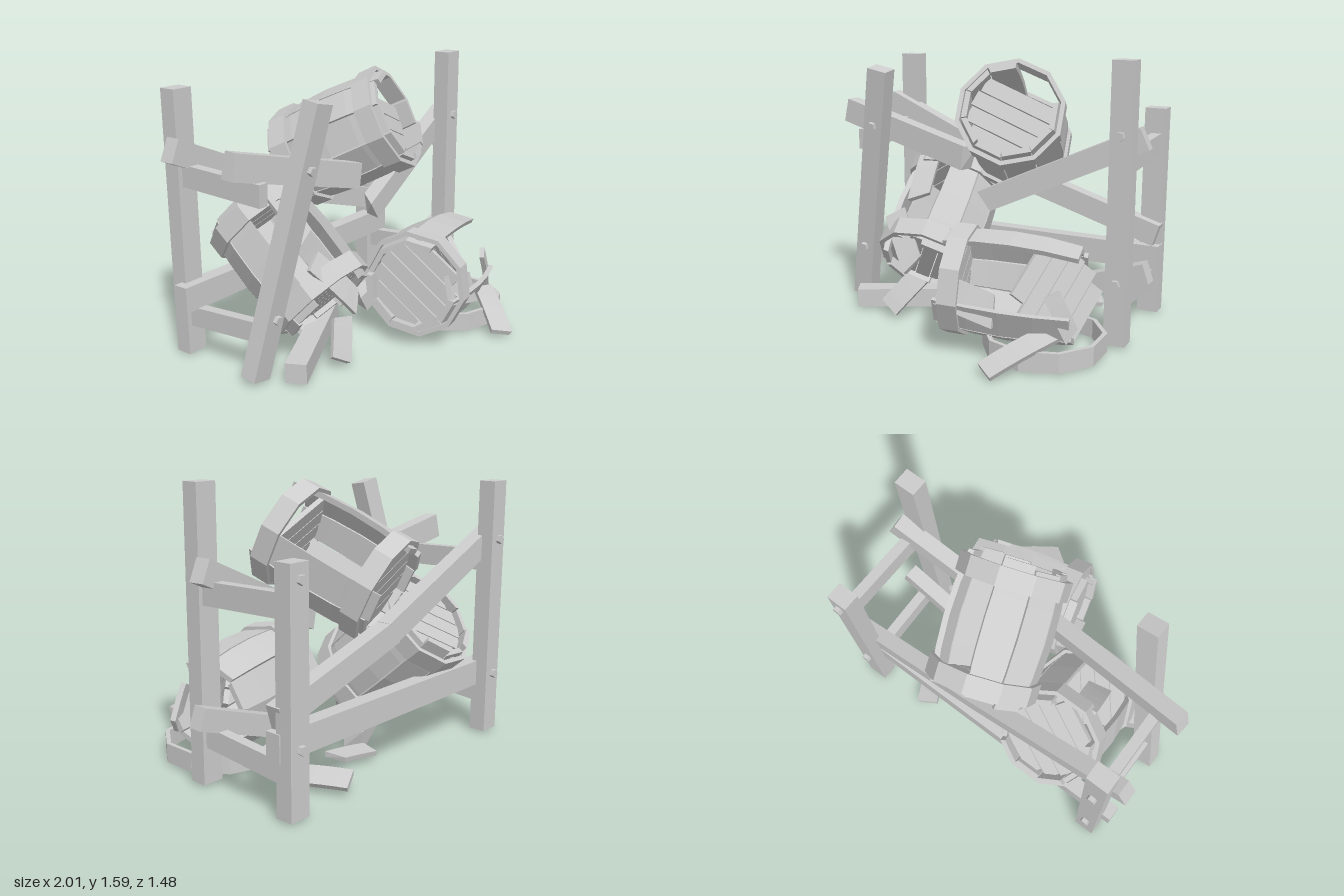
import * as THREE from 'three';

const mat = new THREE.MeshStandardMaterial({ color: 0xcccccc, flatShading: true });
const UP = new THREE.Vector3(0, 1, 0);
const V = (a) => new THREE.Vector3(...a);
const SIDES = 10, HALF = 0.375, STEP = (Math.PI * 2) / SIDES;

function mesh(name, geo, parent) {
  const m = new THREE.Mesh(geo, mat);
  m.name = name;
  parent.add(m);
  return m;
}

// Square-cut rail from a to b; the far end can be splintered
function rail(name, parent, a, b, w, h, splinter = 0) {
  const A = V(a), B = V(b), len = A.distanceTo(B);
  const geo = new THREE.BoxGeometry(w, h, len), p = geo.attributes.position;
  for (let i = 0; i < p.count; i++) {
    if (p.getZ(i) > 0) p.setZ(i, p.getZ(i) + splinter * Math.sign(p.getX(i)) * (p.getY(i) > 0 ? 1 : 0.3));
  }
  const m = mesh(name, geo, parent);
  m.position.copy(A).add(B).multiplyScalar(0.5);
  m.lookAt(B);
}

// Upright post with two bolts on its outer face
function post(name, parent, a, b, face) {
  const g = new THREE.Group(), A = V(a), B = V(b), len = A.distanceTo(B);
  g.name = name;
  g.position.copy(A);
  g.quaternion.setFromUnitVectors(UP, B.sub(A).normalize());
  mesh('postTimber', new THREE.BoxGeometry(0.125, len, 0.1), g).position.y = len / 2;
  for (const y of [0.36, 1.18]) {
    const bolt = mesh('bolt', new THREE.CylinderGeometry(0.027, 0.027, 0.03, 5), g);
    bolt.rotation.x = Math.PI / 2;
    bolt.position.set(0, y, face * 0.06);
  }
  parent.add(g);
}

// Bulging barrel radius along the axis
const radius = (y) => 0.292 - 0.22 * y * y;

// Curved stave spanning y0..y1 of the barrel, facing local +z
function staveGeometry(y0, y1, width = 0.95, snap = 0) {
  const geo = new THREE.BoxGeometry(1, y1 - y0, 0.03, 1, 4, 1), p = geo.attributes.position;
  for (let i = 0; i < p.count; i++) {
    let y = p.getY(i) + (y0 + y1) / 2;
    if (Math.abs(y - y1) < 1e-4) y += snap * Math.sign(p.getX(i));
    const r = radius(y) + (p.getZ(i) > 0 ? 0 : -0.03);
    p.setXYZ(i, p.getX(i) * 2 * r * Math.tan(STEP / 2) * width, y, r);
  }
  return geo;
}

function hoop(parent, r = 0.315) {
  const h = 0.055, ri = r - 0.026;
  const pts = [[ri, -h], [r, -h], [r, h], [ri, h], [ri, -h]].map((q) => new THREE.Vector2(...q));
  return mesh('hoop', new THREE.LatheGeometry(pts, SIDES), parent);
}

// Turn an object so its y follows `y` and its z leans towards `z`
function orient(obj, y, z) {
  const Y = V(y).normalize(), X = Y.clone().cross(V(z)).normalize();
  obj.quaternion.setFromRotationMatrix(new THREE.Matrix4().makeBasis(X, Y, X.clone().cross(Y)));
}

// Round head of parallel boards, running along `grain`; some may be missing
function head(parent, center, normal, grain, first = -2) {
  const g = new THREE.Group();
  g.name = 'barrelHead';
  g.position.copy(center);
  orient(g, normal, grain);
  for (let i = first; i <= 2; i++) {
    const edge = Math.max(0, Math.abs(i) * 0.095 - 0.02);
    const len = 2 * Math.sqrt(0.238 ** 2 - edge ** 2);
    mesh('headBoard', new THREE.BoxGeometry(0.089, 0.03, len), g).position.x = i * 0.095;
  }
  parent.add(g);
}

// Barrel with staves missing on the side facing `open`
function barrel(name, parent, pos, axis, spin, open, hoops) {
  const g = new THREE.Group();
  g.name = name;
  g.position.set(...pos);
  g.quaternion.setFromUnitVectors(UP, V(axis).normalize());
  g.rotateY(spin);
  const o = V(open).normalize();
  for (let k = 0; k < SIDES; k++) {
    const t = (k + 0.5) * STEP, shift = 0.018 * Math.sin(k * 2.7);
    const facing = new THREE.Vector3(Math.sin(t), 0, Math.cos(t)).applyQuaternion(g.quaternion).dot(o);
    if (facing < 0.84) mesh('stave', staveGeometry(-HALF + shift, HALF + shift), g).rotation.y = t;
  }
  for (const y of hoops) hoop(g).position.y = y;
  parent.add(g);
  // Point on the barrel axis, for placing heads
  return (y) => V(axis).normalize().multiplyScalar(y).add(V(pos));
}

// Loose stave lying between two points, outer face turned to `out`
function looseStave(parent, a, b, out, width = 0.75) {
  const A = V(a), B = V(b), half = A.distanceTo(B) / 2;
  const geo = staveGeometry(-half, half, width, 0.025);
  geo.translate(0, 0, -0.275);
  const m = mesh('looseStave', geo, parent);
  m.position.copy(A).add(B).multiplyScalar(0.5);
  orient(m, B.sub(A).toArray(), out);
}

export function createModel() {
  const root = new THREE.Group();
  root.name = 'collapsedBarrelRack';

  // Posts, the front left one leaning and the back right one snapped short
  post('frontRightPost', root, [0.85, 0.015, -0.03], [0.85, 1.595, -0.03], 1);
  post('frontLeftPost', root, [-0.89, 0.02, -0.11], [-0.59, 1.5, 0.11], 1);
  post('backLeftPost', root, [-0.835, 0.01, -0.665], [-0.835, 1.53, -0.665], -1);
  post('backRightPost', root, [0.85, 0.01, -0.665], [0.85, 1.27, -0.665], -1);

  // Front rails, snapped and sagging
  rail('frontUpperLeftRail', root, [-0.985, 1.21, -0.14], [-0.09, 0.99, -0.03], 0.09, 0.145, 0.02);
  rail('frontUpperRightRail', root, [0.945, 1.17, -0.13], [0.05, 0.76, -0.04], 0.09, 0.13, 0.04);
  rail('frontLowerRightRail', root, [0.985, 0.42, -0.13], [0.1, 0.12, -0.15], 0.09, 0.12, 0.04);
  rail('fallenRail', root, [-0.8, 0.07, 0.1], [-0.02, 0.07, -0.31], 0.12, 0.115, 0.03);

  // Back rails
  rail('backLowerRail', root, [-0.95, 0.37, -0.6], [0.92, 0.37, -0.6], 0.09, 0.15);
  rail('backUpperLeftRail', root, [-0.96, 1.22, -0.6], [0.06, 0.77, -0.6], 0.09, 0.135);
  rail('backUpperRightRail', root, [0.9, 0.51, -0.6], [0.02, 0.78, -0.6], 0.09, 0.135);

  // Side rails
  for (const x of [-0.84, 0.86]) {
    rail('sideUpperRail', root, [x, 1.04, -0.05], [x, 1.06, -0.64], 0.06, 0.125);
    rail('sideLowerRail', root, [x, 0.28, -0.05], [x, 0.235, -0.64], 0.06, 0.115);
  }

  // Top barrel, its front head half missing
  const topAxis = [0.27, 0.43, 0.85];
  const top = barrel('topBarrel', root, [0.11, 1.14, -0.27], topAxis, 0.2, [0.75, 0.65, -0.3], [-0.29, 0.29]);
  head(root, top(-0.31), topAxis, [1, -0.35, 0]);
  head(root, top(0.26), topAxis, [-1, 0.35, 0], -1);

  // Left barrel, standing against the back rails
  const leftAxis = [-0.05, 0.66, -0.74];
  const left = barrel('leftBarrel', root, [-0.4, 0.54, -0.285], leftAxis, 0.3, [-0.2, 0.7, 0.7], [-0.28, 0.28]);
  head(root, left(-0.31), leftAxis, [0.4, 1, 0]);
  head(root, left(0.31), leftAxis, [1, 0, 1]);

  // Front barrel, one hoop lost and its right head fallen askew
  const frontAxis = [0.95, -0.06, -0.2];
  const front = barrel('frontBarrel', root, [0.32, 0.35, 0.24], frontAxis, 0.36, [0.1, 0.45, 0.9], [-0.28]);
  head(root, front(-0.31), frontAxis, [0, 0.6, -0.8]);
  head(root, front(0.26), [0.75, 0.25, 0.55], [0, 0.6, -0.8]);

  // Hoop dropped on the ground
  hoop(root, 0.345).position.set(0.515, 0.066, 0.215);

  // Scattered staves
  looseStave(root, [0.38, 0.035, 0.69], [0.62, 0.18, 0.42], [0, 1, 0.4]);
  looseStave(root, [-0.52, 0.06, 0.18], [-0.38, 0.24, 0.08], [0, 0.5, 1]);
  looseStave(root, [0.44, 0.07, -0.68], [0.56, 0.07, -0.44], [0.35, 0.9, 0]);
  looseStave(root, [0.0, 0.05, -0.45], [0.22, 0.05, -0.38], [0, 1, 0]);
  looseStave(root, [0.03, 0.38, 0.53], [0.34, 0.29, 0.5], [0, 0.4, 1], 0.95);
  looseStave(root, [-0.56, 0.62, 0.03], [-0.36, 0.35, 0.17], [0, 0.5, 1]);
  looseStave(root, [-0.5, 0.92, -0.3], [-0.47, 0.7, -0.1], [0, 0.7, 0.7]);
  looseStave(root, [0.63, 0.4, 0.4], [0.74, 0.18, 0.38], [0.4, 0.3, 1], 0.5);
  return root;
}
